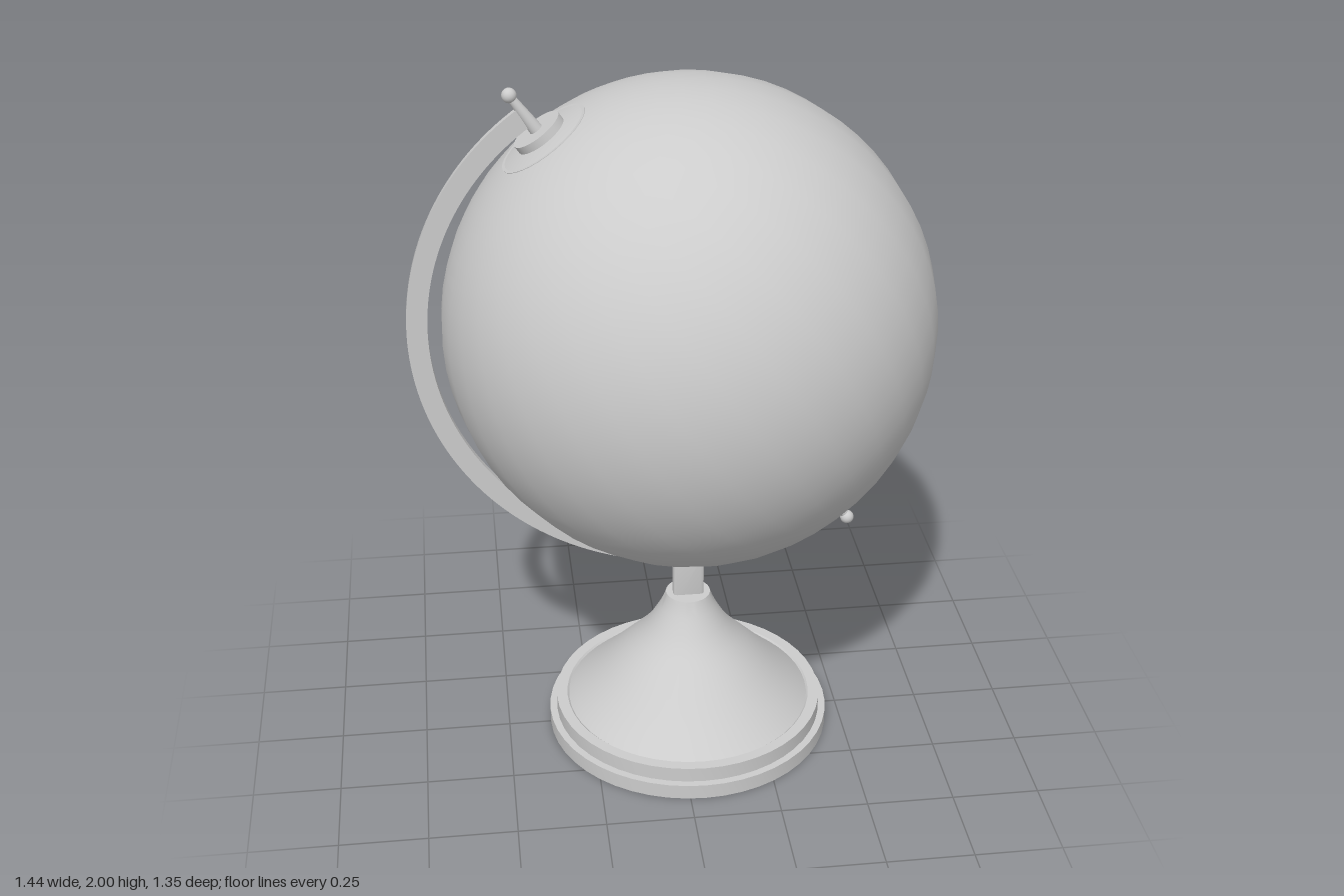
import * as THREE from 'three';
import { toCreasedNormals } from 'three/addons/utils/BufferGeometryUtils.js';

const CX = 0.043, CY = 1.322, R = 0.677; // globe centre and radius
const TILT = 0.616;                      // lean of the globe's axis

export function createModel() {
  const model = new THREE.Group();
  const material = new THREE.MeshStandardMaterial({ color: 0xcccccc });
  const add = (parent, name, geometry, y = 0) => {
    const mesh = new THREE.Mesh(geometry, material);
    mesh.name = name;
    mesh.position.y = y;
    parent.add(mesh);
    return mesh;
  };

  // Stepped foot with a flared, concave cone
  const flare = new THREE.SplineCurve([
    [0.36, 0.085], [0.285, 0.155], [0.205, 0.237], [0.13, 0.318], [0.083, 0.395], [0.065, 0.44],
  ].map(p => new THREE.Vector2(...p))).getPoints(15);
  const profile = [
    ...[[0, 0], [0.418, 0], [0.418, 0.045], [0.397, 0.045], [0.397, 0.09], [0.365, 0.09]]
      .map(p => new THREE.Vector2(...p)),
    ...flare, new THREE.Vector2(0, 0.44),
  ];
  add(model, 'base', toCreasedNormals(new THREE.LatheGeometry(profile, 48), 0.5)).position.x = CX;

  // Flat post with a rounded top, gripping the arm
  const bevel = 0.01, w = 0.035;
  const postShape = new THREE.Shape();
  postShape.moveTo(-w, 0.42);
  postShape.lineTo(w, 0.42);
  postShape.lineTo(w, 0.555);
  postShape.absarc(0, 0.555, w, 0, Math.PI, false);
  const postGeo = new THREE.ExtrudeGeometry(postShape, {
    depth: 0.026, bevelSize: bevel, bevelThickness: bevel, bevelSegments: 3, curveSegments: 16,
  });
  postGeo.translate(0, 0, -0.013);
  add(model, 'post', toCreasedNormals(postGeo, 0.6)).position.x = CX;

  // Everything on the leaning axis: local y runs from pole to pole
  const axis = new THREE.Group();
  axis.name = 'tiltedGlobe';
  axis.position.set(CX, CY, 0);
  axis.rotation.z = TILT;
  model.add(axis);

  const globe = add(axis, 'globe', new THREE.SphereGeometry(R, 32, 32));
  globe.rotation.y = Math.PI / 32;

  // Half-ring arm from pole to pole
  const arc = new THREE.Shape();
  arc.absarc(0, 0, 0.77, Math.PI / 2, Math.PI * 1.5, false);
  arc.absarc(0, 0, 0.713, Math.PI * 1.5, Math.PI / 2, true);
  const armGeo = new THREE.ExtrudeGeometry(arc, { depth: 0.02, bevelEnabled: false, curveSegments: 48 });
  armGeo.translate(0, 0, -0.01);
  add(axis, 'arm', toCreasedNormals(armGeo, 0.5));

  // Pole fittings, the same at both ends
  for (const end of ['top', 'bottom']) {
    const pole = new THREE.Group();
    pole.name = end + 'Pole';
    if (end === 'bottom') pole.rotation.z = Math.PI;
    axis.add(pole);
    add(pole, 'poleCap', new THREE.CylinderGeometry(0.134, 0.134, 0.012, 32), 0.659);
    add(pole, 'washer', new THREE.CylinderGeometry(0.072, 0.072, 0.03, 32), 0.68);
    add(pole, 'pin', new THREE.CylinderGeometry(0.011, 0.019, 0.12, 16), 0.75);
    add(pole, 'knob', new THREE.SphereGeometry(0.02, 16, 12), 0.81);
  }
  return model;
}
